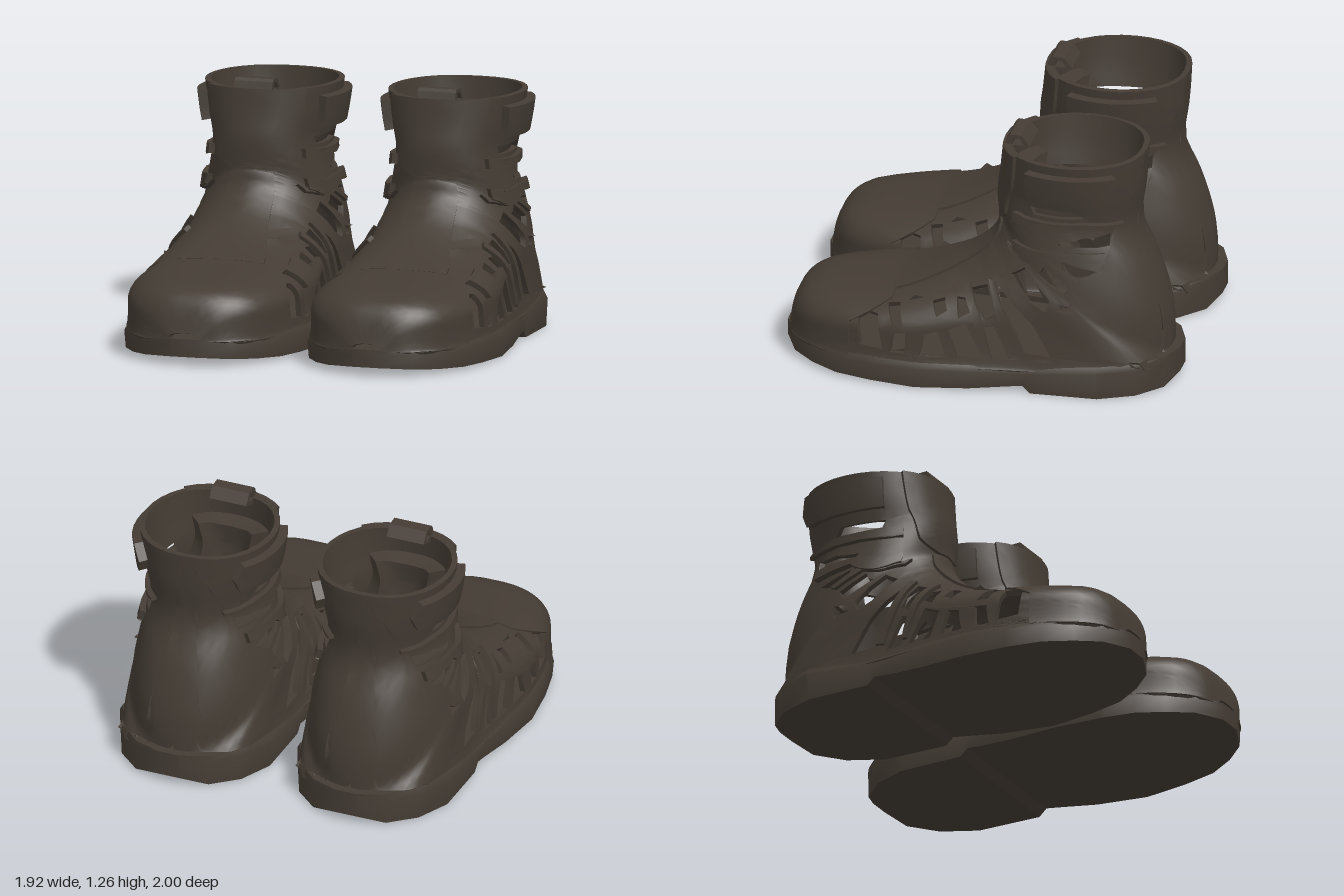
import * as THREE from 'three';
import { mergeVertices, toCreasedNormals } from 'three/addons/utils/BufferGeometryUtils.js';

const leather = new THREE.MeshStandardMaterial({ color: 0x443c34, side: THREE.DoubleSide });
leather.name = 'dark leather';

// Foot form: sections fanning from toe to ankle.
// [top z, top y, bottom z, bottom y, half width, half width at bottom]
const sections = [
  [0.975, 0.16, 0.975, 0.12, 0.08, 0.09],
  [0.935, 0.31, 0.94, 0.12, 0.19, 0.21],
  [0.85, 0.37, 0.84, 0.12, 0.305, 0.32],
  [0.65, 0.4, 0.62, 0.12, 0.4, 0.42],
  [0.4, 0.44, 0.3, 0.12, 0.44, 0.46],
  [0.2, 0.52, 0, 0.12, 0.42, 0.44],
  [0.05, 0.61, -0.3, 0.12, 0.39, 0.41],
  [-0.04, 0.7, -0.6, 0.12, 0.38, 0.4],
  [-0.07, 0.75, -0.8, 0.12, 0.38, 0.33],
  [-0.08, 0.79, -0.92, 0.12, 0.37, 0.2],
  [-0.09, 0.82, -0.955, 0.16, 0.36, 0],
  [-0.09, 0.86, -0.945, 0.36, 0.34, 0],
  [-0.085, 0.92, -0.88, 0.6, 0.31, 0],
  [-0.085, 0.98, -0.79, 0.82, 0.29, 0],
  [-0.1, 1.08, -0.81, 1.03, 0.32, 0],
  [-0.115, 1.215, -0.82, 1.215, 0.345, 0],
];
const LAST = sections.length - 1, HALF = 6;
const topCurve = new THREE.CatmullRomCurve3(sections.map(s => new THREE.Vector3(s[4], s[1], s[0])));
const bottomCurve = new THREE.CatmullRomCurve3(sections.map(s => new THREE.Vector3(s[5], s[3], s[2])));

// Point on the form: u runs toe to ankle, v runs round it (0 = top centre line).
// The toe is boxy, the instep slopes like a roof and the ankle is oval.
function formPoint(u, v) {
  const t = topCurve.getPoint(u / LAST), b = bottomCurve.getPoint(u / LAST);
  const a = Math.min(1, Math.abs(v) / HALF) * Math.PI;
  const power = 0.7 + 0.35 * THREE.MathUtils.smoothstep(u, 3.5, 6) - 0.2 * THREE.MathUtils.smoothstep(u, 9, 12);
  const bulge = Math.pow(Math.max(0, Math.sin(a)), power);
  const low = a > Math.PI / 2 ? Math.max(0, b.x) : 0;
  const s = (1 - Math.cos(a)) / 2;
  return new THREE.Vector3(Math.sign(v) * (low + (t.x - low) * bulge), t.y + (b.y - t.y) * s, t.z + (b.z - t.z) * s);
}

// Finds the form coordinates of a side position (z, y)
function toForm([z, y]) {
  let previous = null;
  for (let i = 0; i <= 900; i++) {
    const u = i / 900 * LAST;
    const t = topCurve.getPoint(u / LAST), b = bottomCurve.getPoint(u / LAST);
    const dz = b.z - t.z, dy = b.y - t.y;
    const cross = dz * (y - t.y) - dy * (z - t.z);
    if (previous !== null && previous * cross <= 0) {
      const s = (dz * (z - t.z) + dy * (y - t.y)) / (dz * dz + dy * dy);
      const c = THREE.MathUtils.clamp(1 - 2 * s, -0.98, 0.995);
      return new THREE.Vector2(u, Math.acos(c) / Math.PI * HALF);
    }
    previous = cross;
  }
  return new THREE.Vector2(LAST, HALF / 2);
}
const mirror = points => points.map(p => new THREE.Vector2(p.x, -p.y));

// Wraps a leather panel with openings over the form and gives it thickness
function wrap(name, outline, holes, offset, thickness) {
  const points = [...outline, ...holes.flat()];
  const pos = [];
  const split = (a, b, c) => {
    const ab = a.distanceTo(b), bc = b.distanceTo(c), ca = c.distanceTo(a);
    const longest = Math.max(ab, bc, ca);
    if (longest > 0.5) {
      // Halve the longest edge
      const [p, q, r] = ab === longest ? [a, b, c] : bc === longest ? [b, c, a] : [c, a, b];
      const m = new THREE.Vector2((p.x + q.x) / 2, (p.y + q.y) / 2);
      split(p, m, r);
      split(m, q, r);
      return;
    }
    const area = (b.x - a.x) * (c.y - a.y) - (b.y - a.y) * (c.x - a.x);
    for (const p of area > 0 ? [a, c, b] : [a, b, c]) pos.push(...formPoint(p.x, p.y).toArray());
  };
  for (const [a, b, c] of THREE.ShapeUtils.triangulateShape(outline, holes)) split(points[a], points[b], points[c]);

  let skin = new THREE.BufferGeometry();
  skin.setAttribute('position', new THREE.Float32BufferAttribute(pos, 3));
  skin = mergeVertices(skin, 1e-4);
  skin.computeVertexNormals();
  const P = skin.attributes.position, N = skin.attributes.normal, n = P.count;
  const shell = [], index = [], edges = new Set(), sides = [];
  for (const d of [offset, offset - thickness])
    for (let i = 0; i < n; i++) shell.push(P.getX(i) + N.getX(i) * d, P.getY(i) + N.getY(i) * d, P.getZ(i) + N.getZ(i) * d);
  const src = skin.index.array;
  for (let i = 0; i < src.length; i += 3) {
    const [a, b, c] = src.slice(i, i + 3);
    if (a === b || b === c || c === a) continue;
    index.push(a, b, c, a + n, c + n, b + n);
    for (const e of [[a, b], [b, c], [c, a]]) { sides.push(e); edges.add(e.join()); }
  }
  // Cut edges of the leather
  for (const [a, b] of sides) if (!edges.has(b + ',' + a)) index.push(b, a, a + n, b, a + n, b + n);
  const g = new THREE.BufferGeometry();
  g.setAttribute('position', new THREE.Float32BufferAttribute(shell, 3));
  g.setIndex(index);
  const mesh = new THREE.Mesh(toCreasedNormals(g, 0.9), leather);
  mesh.name = name;
  return mesh;
}

// Openings between the straps, as side positions (z, y)
const openings = [
  [[0.57, 0.36], [0.47, 0.35], [0.45, 0.23], [0.44, 0.18], [0.56, 0.19], [0.57, 0.28]],
  [[0.43, 0.39], [0.37, 0.4], [0.33, 0.31], [0.39, 0.31]],
  [[0.39, 0.27], [0.32, 0.28], [0.33, 0.17], [0.4, 0.17]],
  [[0.23, 0.28], [0.16, 0.3], [0.12, 0.17], [0.25, 0.17]],
  [[0.2, 0.43], [0.14, 0.45], [0.12, 0.4], [0.17, 0.37]],
  [[0.11, 0.31], [0.02, 0.35], [-0.07, 0.17], [0.06, 0.17]],
  [[0.08, 0.46], [0.03, 0.46], [-0.01, 0.41], [0.06, 0.37]],
  [[0.02, 0.5], [-0.07, 0.53], [-0.13, 0.4], [-0.08, 0.37]],
  [[-0.06, 0.33], [-0.12, 0.34], [-0.2, 0.17], [-0.11, 0.17]],
  [[-0.11, 0.55], [-0.22, 0.46], [-0.31, 0.37], [-0.41, 0.2], [-0.27, 0.21], [-0.17, 0.42]],
  [[-0.19, 0.6], [-0.26, 0.64], [-0.4, 0.5], [-0.38, 0.44], [-0.3, 0.48]],
  [[-0.43, 0.45], [-0.51, 0.49], [-0.52, 0.43]],
  [[-0.32, 0.62], [-0.36, 0.66], [-0.5, 0.58], [-0.47, 0.53]],
  [[-0.45, 0.7], [-0.63, 0.65], [-0.55, 0.62], [-0.46, 0.63]],
  [[-0.41, 0.79], [-0.55, 0.815], [-0.68, 0.83], [-0.68, 0.77], [-0.55, 0.77], [-0.43, 0.77]],
  [[-0.28, 0.96], [-0.52, 0.96], [-0.56, 0.92], [-0.3, 0.92]],
];

// Raised straps on each side: name, height above the form, side positions (z, y)
const straps = [
  ['ankleStrap', 0.045, [[-0.28, 1.17], [-0.7, 1.17], [-0.73, 1.09], [-0.7, 1.02], [-0.28, 1.02]]],
  ['upperStrap', 0.03, [[-0.2, 0.91], [-0.55, 0.9], [-0.73, 0.89], [-0.73, 0.87], [-0.55, 0.86], [-0.4, 0.855], [-0.2, 0.86]]],
  ['middleStrap', 0.03, [[-0.2, 0.76], [-0.42, 0.75], [-0.55, 0.745], [-0.66, 0.74], [-0.66, 0.69], [-0.55, 0.7], [-0.44, 0.715], [-0.2, 0.7]]],
  ['lowerStrap', 0.02, [[-0.16, 0.73], [-0.36, 0.71], [-0.55, 0.61], [-0.52, 0.595], [-0.36, 0.68], [-0.18, 0.69]]],
  ['archStrap', 0.02, [[-0.08, 0.55], [-0.11, 0.55], [-0.17, 0.42], [-0.26, 0.21], [-0.21, 0.2], [-0.135, 0.4]]],
  ['footStrap', 0.02, [[0.05, 0.5], [0.02, 0.52], [-0.05, 0.4], [-0.1, 0.2], [-0.075, 0.2], [-0.015, 0.38]]],
];

// Sole with toe spring, arch and heel block: [z, half width, bottom y]
function makeSole() {
  const rows = [
    [1, 0.07, 0.045], [0.93, 0.23, 0.035], [0.82, 0.33, 0.025], [0.68, 0.415, 0.018], [0.5, 0.455, 0.012],
    [0.27, 0.48, 0.005], [0, 0.45, 0.012], [-0.2, 0.42, 0.03], [-0.27, 0.415, 0.038], [-0.31, 0.415, 0],
    [-0.65, 0.41, 0], [-0.83, 0.33, 0.003], [-0.95, 0.2, 0.008], [-1, 0.06, 0.04],
  ];
  const pos = [], index = [], k = 6;
  for (const [z, w, y] of rows) {
    const top = z < -0.5 ? 0.17 : 0.135;
    for (const [x, h] of [[-w * 0.96, top], [w * 0.96, top], [w, top - 0.03], [w * 0.98, y], [-w * 0.98, y], [-w, top - 0.03]]) pos.push(x, h, z);
  }
  for (let r = 0; r < rows.length - 1; r++)
    for (let i = 0; i < k; i++) {
      const a = r * k + i, b = r * k + (i + 1) % k;
      index.push(a, b, a + k, b, b + k, a + k);
    }
  const e = (rows.length - 1) * k;
  for (let i = 1; i < k - 1; i++) index.push(0, i + 1, i, e, e + i, e + i + 1);
  const g = new THREE.BufferGeometry();
  g.setAttribute('position', new THREE.Float32BufferAttribute(pos, 3));
  g.setIndex(index);
  const mesh = new THREE.Mesh(toCreasedNormals(g, 0.7), leather);
  mesh.name = 'sole';
  return mesh;
}

function makeShoe() {
  const shoe = new THREE.Group();
  const uv = list => list.map(([u, v]) => new THREE.Vector2(u, v));
  shoe.add(makeSole());

  // Upper with cut-outs on both sides
  const outline = uv([[0, -HALF], [LAST, -HALF], [LAST, HALF], [0, HALF]]);
  const holes = openings.map(h => h.map(toForm));
  shoe.add(wrap('upper', outline, [...holes, ...holes.map(mirror)], 0, 0.028));

  // Layered panels
  shoe.add(wrap('toeCap', uv([[0, -5.9], [3, -5.6], [3.1, -2.5], [3.9, -1.2], [4, 0], [3.9, 1.2], [3.1, 2.5], [3, 5.6], [0, 5.9]]), [], 0.01, 0.02));
  shoe.add(wrap('instepStrip', uv([[3.9, -0.8], [6.5, -0.7], [9.5, -0.6], [9.5, 0.6], [6.5, 0.7], [3.9, 0.8]]), [], 0.012, 0.025));
  shoe.add(wrap('tongue', uv([[15, -1.4], [13.5, -1.4], [11.5, -1], [10, -0.4], [10, 0.4], [11.5, 1], [13.5, 1.4], [15, 1.4]]), [], 0.02, 0.035));
  shoe.add(wrap('tonguePadding', uv([[14, -1.4], [11, -1.6], [11, 1.6], [14, 1.4]]), [], -0.02, 0.1));
  for (const [name, offset, points] of straps) {
    const strap = points.map(toForm);
    shoe.add(wrap(name + 'Left', strap, [], offset, offset + 0.01), wrap(name + 'Right', mirror(strap), [], offset, offset + 0.01));
  }

  // Folded pull loop on the front rim
  const loop = new THREE.Shape(uv([[0.1, 1.17], [0.125, 1.25], [0.14, 1.265], [0.2, 1.262], [0.24, 1.21], [0.22, 1.2], [0.13, 1.17]]));
  loop.holes.push(new THREE.Path(uv([[0.15, 1.21], [0.155, 1.245], [0.19, 1.242], [0.21, 1.21]])));
  const tab = new THREE.Mesh(new THREE.ExtrudeGeometry(loop, { depth: 0.2, bevelEnabled: false }), leather);
  tab.name = 'pullLoop';
  tab.rotation.y = Math.PI / 2;
  tab.position.x = -0.1;
  shoe.add(tab);
  return shoe;
}

export function createModel() {
  const pair = new THREE.Group();
  pair.name = 'strappedBoots';
  const left = makeShoe();
  left.name = 'leftBoot';
  left.position.x = 0.48;
  const right = left.clone();
  right.name = 'rightBoot';
  right.position.x = -0.48;
  pair.add(left, right);
  return pair;
}
